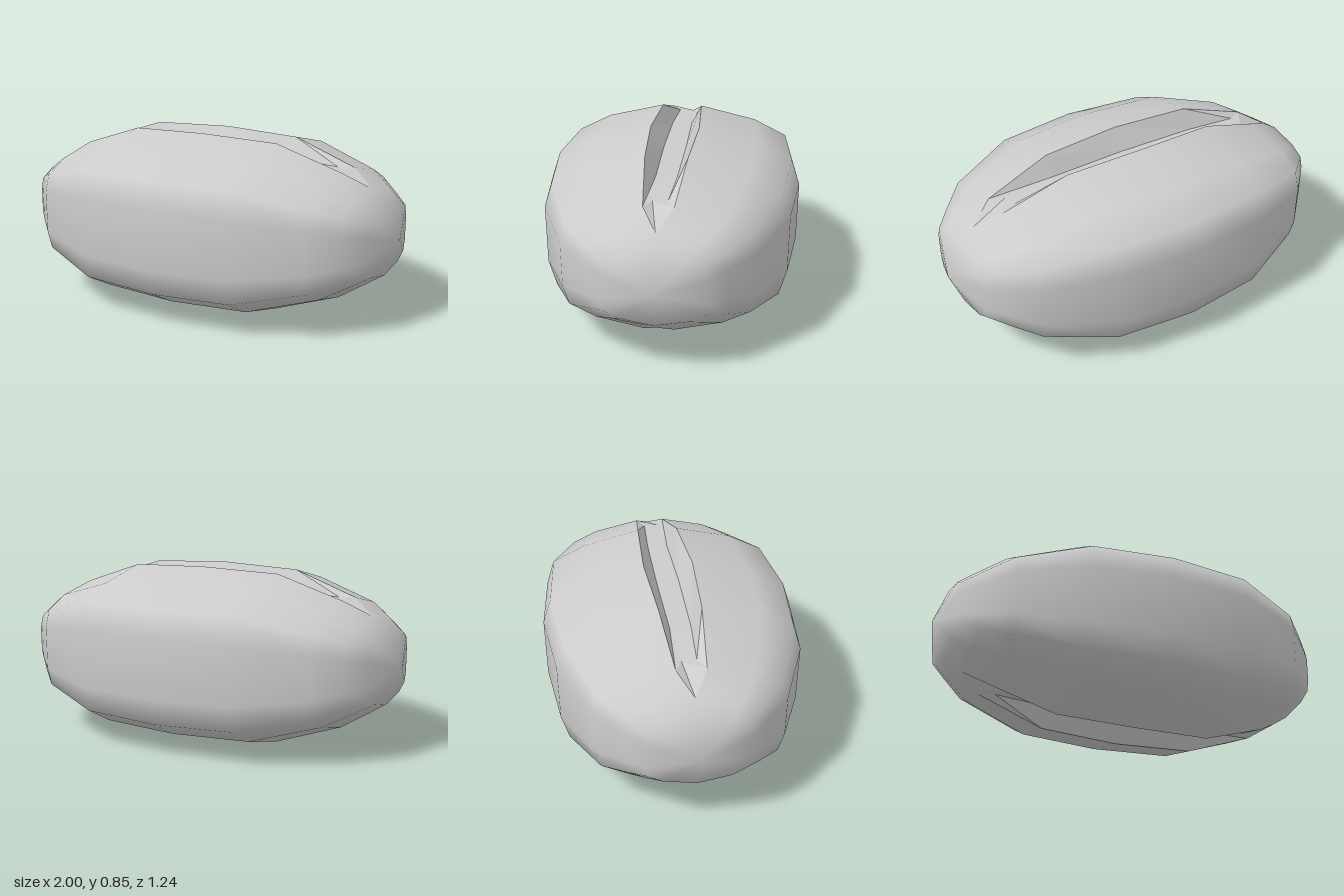
import * as THREE from 'three';
import { mergeVertices } from 'three/addons/utils/BufferGeometryUtils.js';

// Half stations along x: [x, half width, half height, groove lip z, groove floor x, floor z, floor y]
const HALF = [
  [0, 0.62, 0.425, 0.12, 0, 0.055, 0.32],
  [0.4, 0.58, 0.412, 0.1, 0.4, 0.05, 0.315],
  [0.73, 0.445, 0.302, 0.07, 0.66, 0.035, 0.303],
  [0.85, 0.325, 0.23, 0, 0.69, 0, 0.3],
  [0.93, 0.24, 0.178, 0, 0, 0, 0],
  [1, 0, 0, 0, 0, 0, 0],
];
const mirrored = HALF.slice(1).reverse().map((s) => s.map((v, i) => (i === 0 || i === 4 ? -v : v)));
const STATIONS = [...mirrored, ...HALF];

// Upper quarter of the cross-section, as fractions of half width and half height (after the lip)
const QUARTER = [[0.655, 0.84], [0.935, 0.64], [1, 0.345]];

// Skin rows of equal length, turning corners counter-clockwise seen from outside
function skin(rows, skip = () => false) {
  const pos = [];
  const n = rows[0].length;
  const tri = (...p) => {
    const [a, b, c] = p.map((v) => new THREE.Vector3(...v));
    if (b.sub(a).cross(c.sub(a)).length() > 1e-7) pos.push(...p.flat());
  };
  for (let i = 0; i < rows.length - 1; i++) {
    for (let j = 0; j < n; j++) {
      if (skip(j)) continue;
      const k = (j + 1) % n;
      tri(rows[i][j], rows[i][k], rows[i + 1][k]);
      tri(rows[i][j], rows[i + 1][k], rows[i + 1][j]);
    }
  }
  const geometry = new THREE.BufferGeometry();
  geometry.setAttribute('position', new THREE.Float32BufferAttribute(pos, 3));
  return geometry;
}

// Closed ring around the bean, from the front upper lip down and back up behind
function bodyRing([x, w, h, lip]) {
  const upper = [[lip, h], ...QUARTER.map(([z, y]) => [z * w, y * h])];
  const front = [...upper, ...upper.map(([z, y]) => [z * 0.99, -y]).reverse()];
  const back = front.map(([z, y]) => [-z, y]).reverse();
  return [...front, ...back].map(([z, y]) => [x, y, z]);
}

export function createModel() {
  const model = new THREE.Group();
  model.name = 'bean';
  const smooth = new THREE.MeshStandardMaterial({ color: 0xcccccc });
  const flat = new THREE.MeshStandardMaterial({ color: 0xcccccc, flatShading: true });

  // Rounded body, open between the groove lips
  const bodyGeometry = mergeVertices(skin(STATIONS.map(bodyRing), (j) => j === 7 || j === 15), 1e-4);
  bodyGeometry.computeVertexNormals();
  const body = new THREE.Mesh(bodyGeometry, smooth);
  body.name = 'body';
  model.add(body);

  // Sunken groove: two sloping walls and a narrow floor
  const grooveRows = STATIONS.slice(2, -2).map(([x, , h, lip, fx, fz, fy]) => [
    [x, h, -lip], [fx, fy, -fz], [fx, fy, fz], [x, h, lip],
  ]);
  const grooveGeometry = skin(grooveRows, (j) => j === 3);
  grooveGeometry.computeVertexNormals();
  for (const [name, angle] of [['topGroove', 0], ['bottomGroove', Math.PI]]) {
    const groove = new THREE.Mesh(grooveGeometry, flat);
    groove.name = name;
    groove.rotation.x = angle;
    model.add(groove);
  }

  model.position.y = 0.425;
  return model;
}
